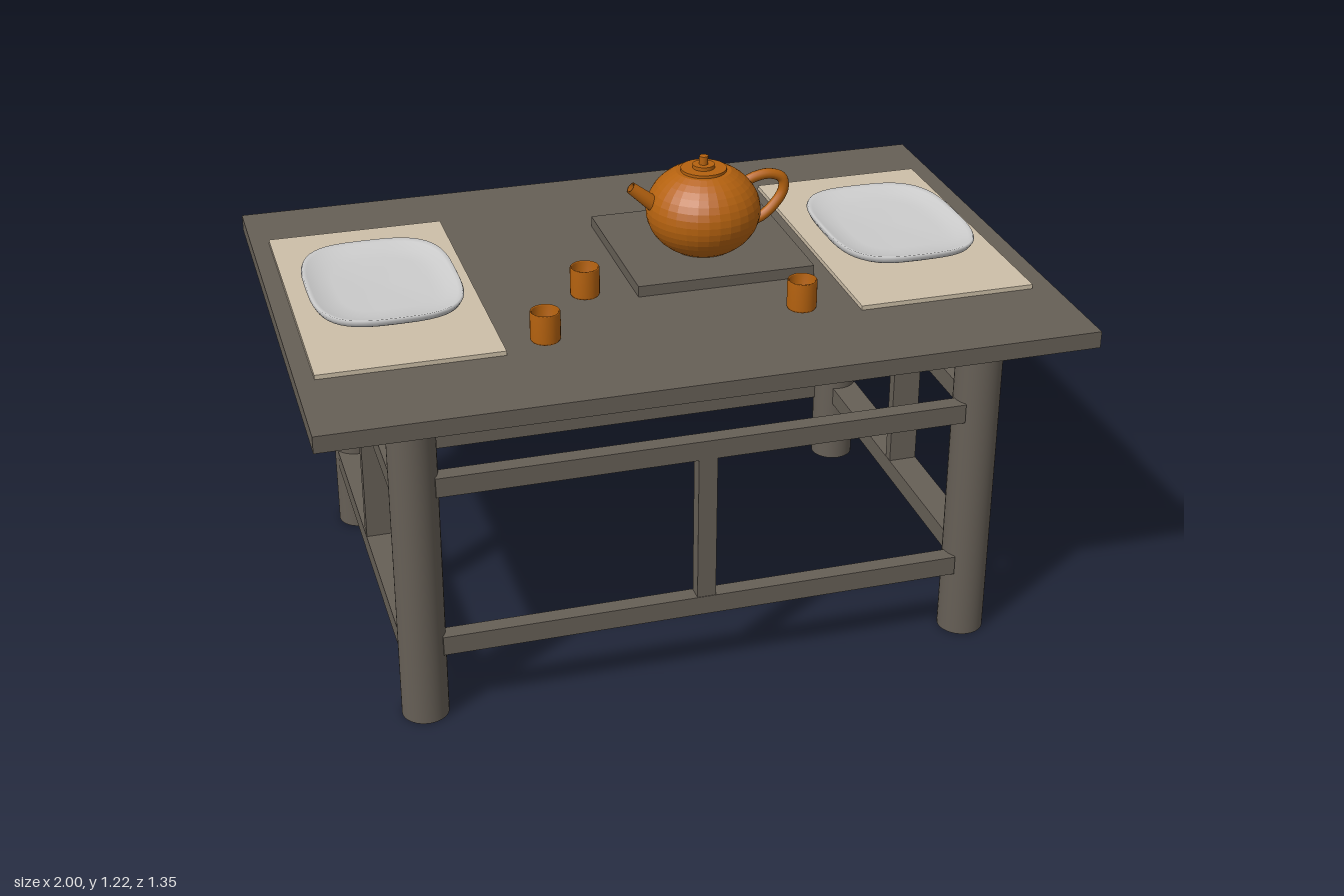
import * as THREE from 'three';

const mat = (color, extra = {}) => new THREE.MeshStandardMaterial({ color, ...extra });

export function createModel() {
  const root = new THREE.Group();
  const wood = mat(0x665f56);
  const matCloth = mat(0xcdbfa8);
  const clay = mat(0xb5620f, { side: THREE.DoubleSide });
  const clayFaceted = mat(0xb5620f, { flatShading: true });
  const ceramic = mat(0xcccccc, { side: THREE.DoubleSide });

  const add = (name, geometry, material, x = 0, y = 0, z = 0, parent = root) => {
    const mesh = new THREE.Mesh(geometry, material);
    mesh.name = name;
    mesh.position.set(x, y, z);
    parent.add(mesh);
    return mesh;
  };
  // Box given by its extents on each axis
  const box = (name, material, [x0, x1], [y0, y1], [z0, z1]) =>
    add(name, new THREE.BoxGeometry(x1 - x0, y1 - y0, z1 - z0), material,
      (x0 + x1) / 2, (y0 + y1) / 2, (z0 + z1) / 2);
  const lathe = (points, segments) =>
    new THREE.LatheGeometry(points.map(([r, y]) => new THREE.Vector2(r, y)), segments);

  // Table top and round legs
  box('tableTop', wood, [-1, 1], [0.887, 0.932], [-0.675, 0.675]);
  const legGeometry = new THREE.CylinderGeometry(0.0615, 0.0615, 0.887, 32);
  for (const sx of [-1, 1])
    for (const sz of [-1, 1]) add('leg', legGeometry, wood, sx * 0.745, 0.4435, sz * 0.51);

  // Rails and middle posts on all four sides
  for (const s of [-1, 1]) {
    for (const y of [0.217, 0.679]) {
      add('longRail', new THREE.BoxGeometry(1.395, 0.053, 0.045), wood, 0, y, s * 0.533);
      add('sideRail', new THREE.BoxGeometry(0.08, 0.053, 0.955), wood, s * 0.762, y, 0);
    }
    add('longPost', new THREE.BoxGeometry(0.05, 0.42, 0.042), wood, 0, 0.448, s * 0.533);
    add('sidePost', new THREE.BoxGeometry(0.078, 0.42, 0.032), wood, s * 0.762, 0.448, 0);
  }

  // Place mats and the board under the teapot
  box('placeMat', matCloth, [-0.952, -0.475], [0.932, 0.944], [-0.455, 0.39]);
  box('placeMat', matCloth, [0.462, 0.94], [0.932, 0.944], [-0.455, 0.39]);
  box('teaBoard', wood, [-0.07, 0.415], [0.932, 0.962], [-0.328, 0.155]);

  // Rounded rectangular plates, lofted through superellipse rings [scale, height]
  const plateGeometry = () => {
    const rings = [[0, 0], [0.68, 0], [0.86, 0.008], [0.97, 0.022], [1, 0.034], [0.985, 0.041],
      [0.93, 0.037], [0.8, 0.027], [0.62, 0.022], [0, 0.02]];
    const n = 48, positions = [], index = [];
    const power = (v) => Math.sign(v) * Math.abs(v) ** 0.62;
    rings.forEach(([s, y], r) => {
      for (let i = 0; i < n; i++) {
        const a = (i / n) * Math.PI * 2;
        positions.push(0.199 * s * power(Math.cos(a)), y, 0.254 * s * power(Math.sin(a)));
        if (r === rings.length - 1) continue;
        const p = r * n + i, q = r * n + ((i + 1) % n);
        index.push(p, p + n, q, q, p + n, q + n);
      }
    });
    const g = new THREE.BufferGeometry();
    g.setAttribute('position', new THREE.Float32BufferAttribute(positions, 3));
    g.setIndex(index);
    g.computeVertexNormals();
    return g;
  };
  const plate = plateGeometry();
  for (const x of [-0.711, 0.701]) add('plate', plate, ceramic, x, 0.945, -0.034);

  // Hollow cups
  const cup = lathe([[0, 0], [0.036, 0], [0.039, 0.006], [0.039, 0.078], [0.037, 0.081],
    [0.034, 0.078], [0.032, 0.03], [0.022, 0.014], [0, 0.01]], 24);
  for (const [x, z] of [[-0.362, 0.33], [-0.2, 0.1], [0.318, 0.33]])
    add('cup', cup, clay, x, 0.932, z);

  // Teapot
  const teapot = new THREE.Group();
  teapot.name = 'teapot';
  teapot.position.set(0.17, 0, -0.055);
  root.add(teapot);

  // Flattened body, cut level at the foot and the lid
  const profile = [[0, 0.962]];
  for (let i = 0; i <= 14; i++) {
    const a = -1.0 + (i / 14) * 2.07;
    profile.push([0.155 * Math.cos(a), 1.069 + 0.127 * Math.sin(a)]);
  }
  profile.push([0, 1.18]);
  add('teapotBody', lathe(profile, 32), clayFaceted, 0, 0, 0, teapot);

  // Stepped lid with knob
  for (const [name, r, y0, y1] of [['lid', 0.062, 1.174, 1.188], ['lidStep', 0.03, 1.186, 1.198],
    ['lidKnob', 0.012, 1.196, 1.221]])
    add(name, new THREE.CylinderGeometry(r, r, y1 - y0, 24), clay, 0, (y0 + y1) / 2, 0, teapot);

  // Straight spout with a hollow mouth
  const spout = add('spout', lathe([[0.025, -0.07], [0.016, 0.065], [0.011, 0.065], [0.011, 0.02],
    [0, 0.02]], 20), clay, -0.152, 1.11, 0, teapot);
  spout.rotation.z = 0.87;

  // Looped handle
  const path = new THREE.CatmullRomCurve3([[0.1, 1.12], [0.135, 1.142], [0.185, 1.15],
    [0.222, 1.134], [0.226, 1.1], [0.2, 1.058], [0.16, 1.026], [0.11, 1.015]]
    .map(([x, y]) => new THREE.Vector3(x, y, 0)));
  add('handle', new THREE.TubeGeometry(path, 40, 0.0145, 12), clay, 0, 0, 0, teapot);

  return root;
}
